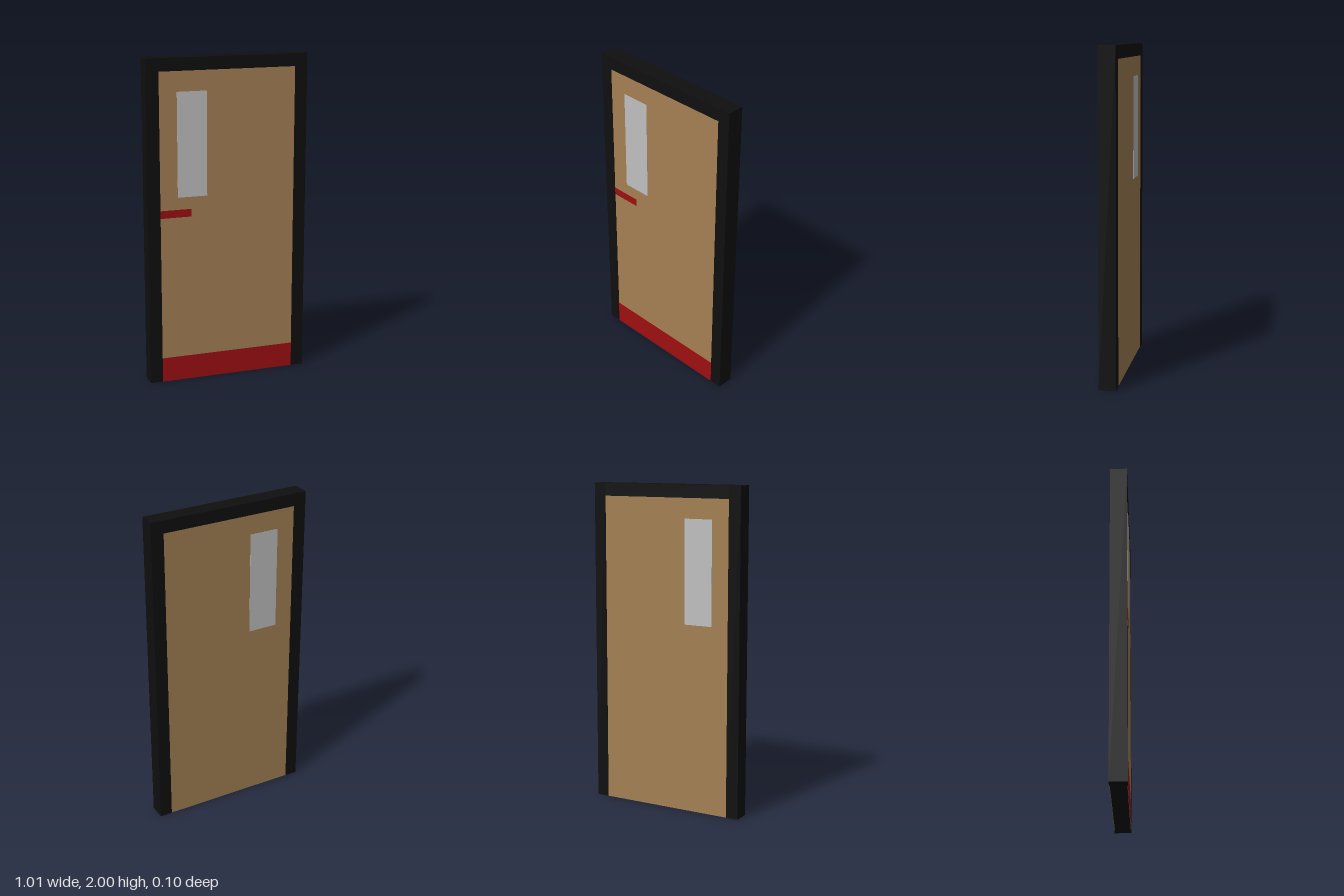
import * as THREE from 'three';

const material = (name, color) => {
  const m = new THREE.MeshStandardMaterial({ color });
  m.name = name;
  return m;
};

export function createModel() {
  const black = material('frame black', 0x0f0f0f);
  const wood = material('door brown', 0xa48054);
  const red = material('trim red', 0x9e0f11);
  const glass = material('window grey', 0xc0c0c0);

  const door = new THREE.Group();
  door.name = 'door';

  // Box given by its extents on each axis
  const addBox = (name, mat, [x0, x1], [y0, y1], [z0, z1]) => {
    const mesh = new THREE.Mesh(new THREE.BoxGeometry(x1 - x0, y1 - y0, z1 - z0), mat);
    mesh.position.set((x0 + x1) / 2, (y0 + y1) / 2, (z0 + z1) / 2);
    mesh.name = name;
    door.add(mesh);
  };

  const W = 0.504, inner = 0.426, H = 2, top = 1.922, D = 0.052;

  // Frame: two posts, a header and the dark core of the leaf
  addBox('leftPost', black, [inner, W], [0, H], [-D, D]);
  addBox('rightPost', black, [-W, -inner], [0, H], [-D, D]);
  addBox('header', black, [-inner, inner], [top, H], [-D, D]);
  addBox('core', black, [-inner, inner], [0, top], [-0.048, 0.048]);

  // Wooden skin and window on both faces
  for (const [side, s] of [['front', 1], ['back', -1]]) {
    const layer = (a, b) => (s > 0 ? [a, b] : [-b, -a]);
    addBox(side + 'Panel', wood, [-inner, inner], [0, top], layer(0.048, 0.0505));
    addBox(side + 'Window', glass, [-0.317, -0.133], [1.165, 1.8], layer(0.0505, D));
  }

  // Handle and kick plate on the front only
  addBox('handle', red, [-inner, -0.234], [1.043, 1.09], [0.0505, D]);
  addBox('kickPlate', red, [-inner, inner], [0, 0.153], [0.0505, D]);

  return door;
}
